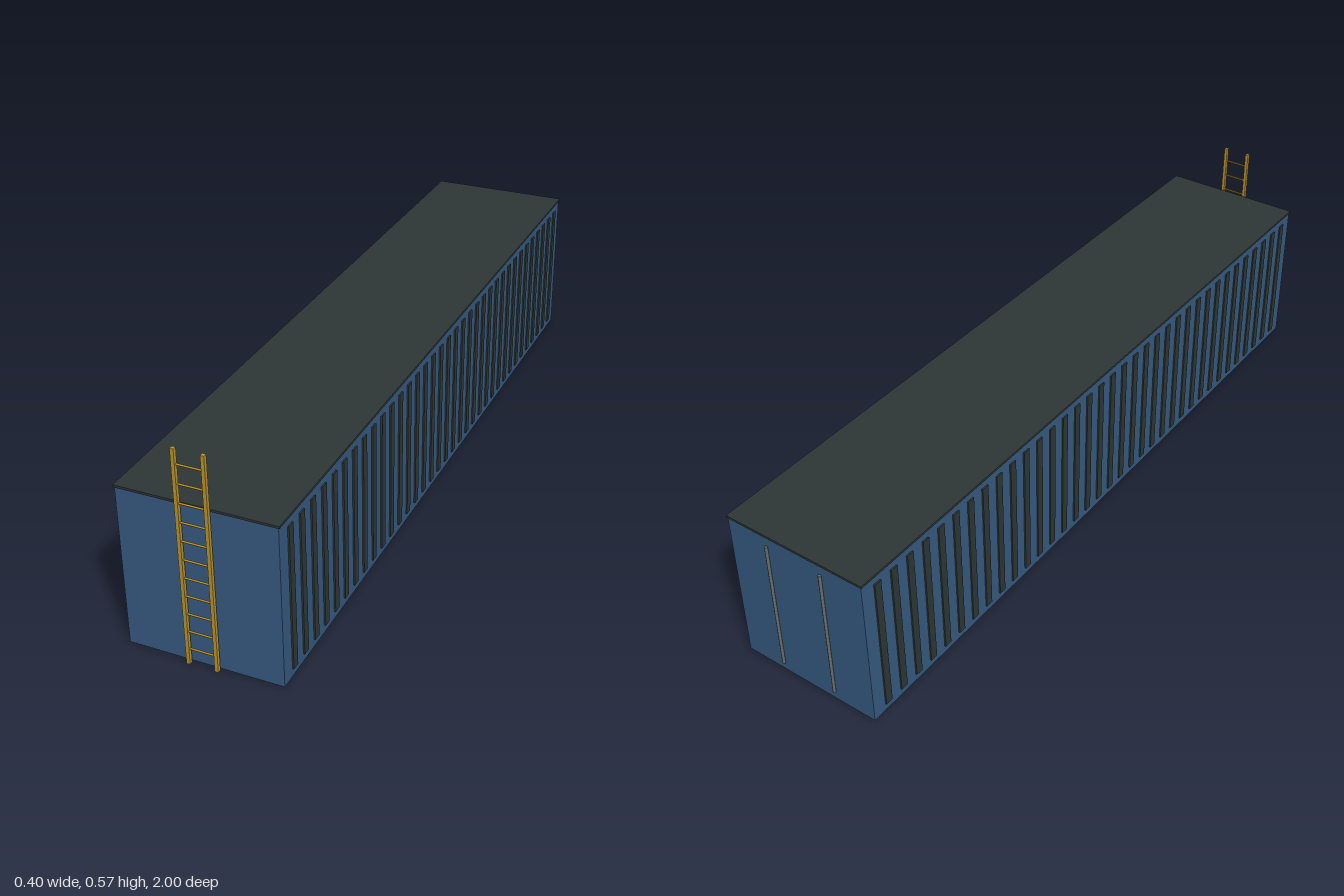
import * as THREE from 'three';

export function createModel() {
  const model = new THREE.Group();
  model.name = 'shippingContainer';

  const mat = (name, color) => {
    const m = new THREE.MeshStandardMaterial({ color });
    m.name = name;
    return m;
  };
  const blue = mat('bluePaint', 0x35597f);
  const dark = mat('darkSteel', 0x2d3635);
  const yellow = mat('yellowPaint', 0xb8922a);
  const grey = mat('greySteel', 0x6a6c6c);

  const add = (parent, name, geometry, material, x, y, z) => {
    const mesh = new THREE.Mesh(geometry, material);
    mesh.name = name;
    mesh.position.set(x, y, z);
    parent.add(mesh);
    return mesh;
  };
  const group = (name) => {
    const g = new THREE.Group();
    g.name = name;
    model.add(g);
    return g;
  };

  // Body and slightly overhanging roof plate
  const midZ = -0.004;
  add(model, 'body', new THREE.BoxGeometry(0.396, 0.423, 1.976), blue, 0, 0.2115, midZ);
  add(model, 'roof', new THREE.BoxGeometry(0.402, 0.006, 1.98), dark, 0, 0.425, midZ);

  // Vertical ribs along both long sides
  const ribs = group('sideRibs');
  const ribGeometry = new THREE.BoxGeometry(0.008, 0.38, 0.021);
  const ribCount = 35;
  for (let i = 0; i < ribCount; i++) {
    const z = midZ + (i - (ribCount - 1) / 2) * 0.0552;
    for (const side of [-1, 1]) add(ribs, 'rib', ribGeometry, dark, side * 0.198, 0.211, z);
  }

  // Locking rods on the back doors
  const rods = group('doorRods');
  const rodGeometry = new THREE.CylinderGeometry(0.004, 0.004, 0.372, 8);
  for (const side of [-1, 1]) add(rods, 'doorRod', rodGeometry, grey, side * 0.08, 0.211, -0.996);

  // Ladder standing against the front end
  const ladder = group('ladder');
  const railGeometry = new THREE.BoxGeometry(0.009, 0.567, 0.01);
  for (const side of [-1, 1]) add(ladder, 'ladderRail', railGeometry, yellow, side * 0.036, 0.2835, 0.995);
  const rungGeometry = new THREE.CylinderGeometry(0.0026, 0.0026, 0.072, 8).rotateZ(Math.PI / 2);
  for (let i = 0; i < 11; i++) add(ladder, 'ladderRung', rungGeometry, yellow, 0, 0.041 + i * 0.0486, 0.994);

  return model;
}
